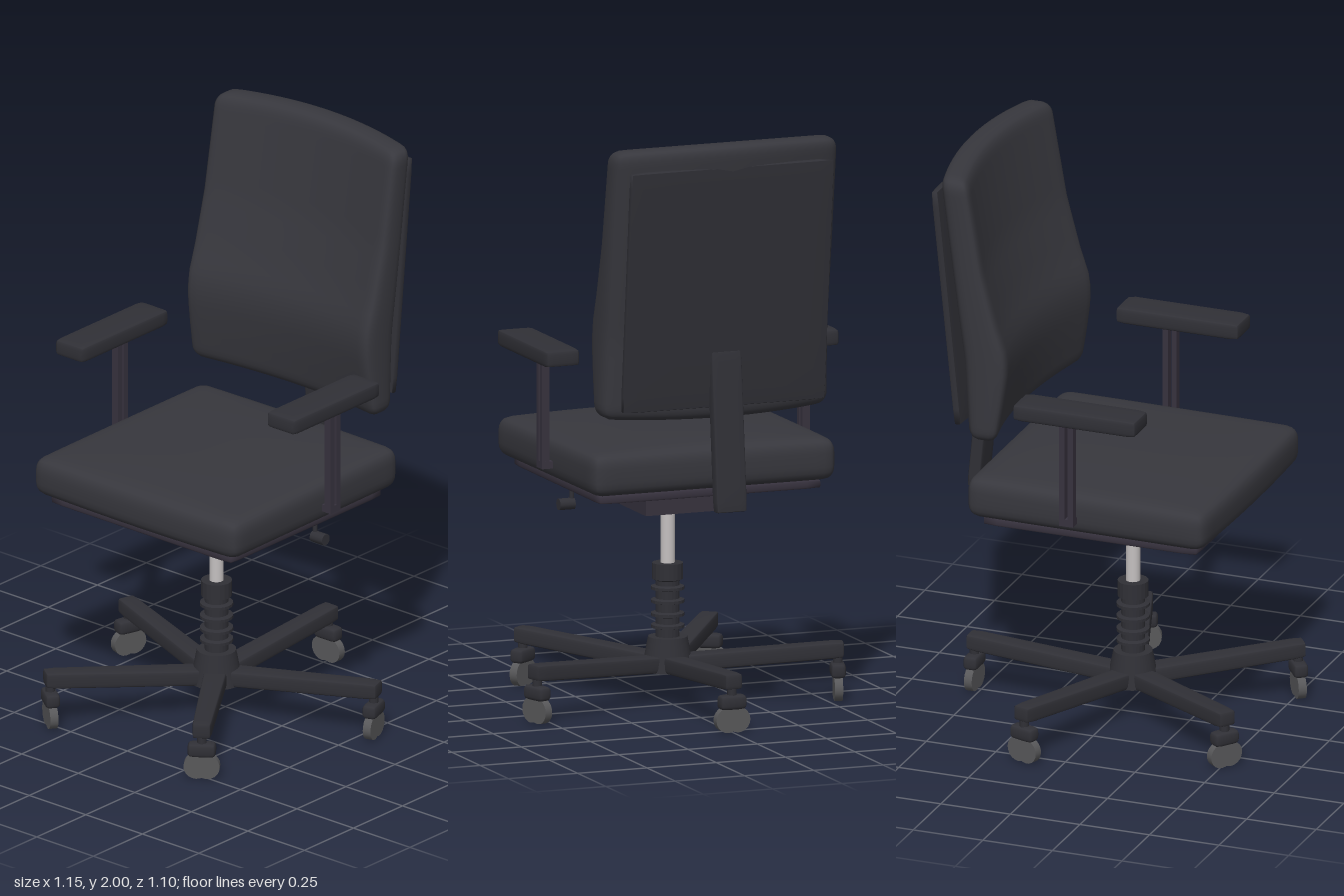
import * as THREE from 'three';
import { mergeVertices } from 'three/addons/utils/BufferGeometryUtils.js';

const paint = (name, color) => {
  const m = new THREE.MeshStandardMaterial({ color });
  m.name = name;
  return m;
};

// Rounded box with cells packed toward its edges, optionally reshaped by warp(p)
function softBox(w, h, d, r, segs, warp) {
  const g = new THREE.BoxGeometry(2, 2, 2, ...segs);
  g.deleteAttribute('uv');
  g.deleteAttribute('normal');
  const pos = g.attributes.position;
  const half = new THREE.Vector3(w / 2, h / 2, d / 2);
  const core = half.clone().subScalar(r);
  const p = new THREE.Vector3(), inner = new THREE.Vector3();
  for (let i = 0; i < pos.count; i++) {
    p.fromBufferAttribute(pos, i);
    for (const k of ['x', 'y', 'z']) p[k] = half[k] * Math.sin(p[k] * Math.PI / 2);
    inner.copy(p).clamp(core.clone().negate(), core);
    p.sub(inner).setLength(r).add(inner);
    if (warp) warp(p);
    pos.setXYZ(i, p.x, p.y, p.z);
  }
  const merged = mergeVertices(g, 1e-5);
  merged.computeVertexNormals();
  return merged;
}

// Linear lookup in a short list of [y, z] points
function lookup(points, y) {
  for (let i = 1; i < points.length; i++) {
    const [y0, z0] = points[i - 1], [y1, z1] = points[i];
    if (y <= y1 || i === points.length - 1) return z0 + (z1 - z0) * (y - y0) / (y1 - y0);
  }
}

export function createModel() {
  const chair = new THREE.Group();
  chair.name = 'officeChair';
  const fabric = paint('charcoal fabric', 0x37373d);
  const plastic = paint('dark plastic', 0x303036);
  const metal = paint('painted metal', 0x37323e);
  const steel = paint('bright steel', 0xc4c0c0);
  const rubber = paint('grey wheel', 0x58585a);

  const add = (name, geo, mat, x = 0, y = 0, z = 0, parent = chair) => {
    const m = new THREE.Mesh(geo, mat);
    m.name = name;
    m.position.set(x, y, z);
    parent.add(m);
    return m;
  };

  // Five-legged base with casters
  const base = new THREE.Group();
  base.name = 'base';
  base.position.z = 0.045;
  chair.add(base);
  const legGeo = softBox(0.08, 0.056, 0.57, 0.012, [6, 6, 6], p => {
    const t = (p.z + 0.285) / 0.57;
    p.x *= 1 - 0.2 * t;
    p.y += 0.138 + 0.04 * t;
    p.z += 0.305;
  });
  const capGeo = softBox(0.095, 0.05, 0.052, 0.016, [6, 6, 6]);
  const stemGeo = new THREE.CylinderGeometry(0.016, 0.016, 0.05, 12);
  const wheelGeo = new THREE.CylinderGeometry(0.043, 0.043, 0.028, 20).rotateX(Math.PI / 2);
  for (let i = 0; i < 5; i++) {
    const spoke = new THREE.Group();
    spoke.name = 'spoke';
    spoke.rotation.y = Math.PI + i * Math.PI * 2 / 5;
    base.add(spoke);
    add('leg', legGeo, plastic, 0, 0, 0, spoke);
    add('casterStem', stemGeo, plastic, 0, 0.145, 0.57, spoke);
    add('casterCap', capGeo, plastic, 0, 0.107, 0.57, spoke);
    for (const s of [-1, 1]) add('casterWheel', wheelGeo, rubber, s * 0.018, 0.047, 0.57, spoke);
  }
  add('hub', new THREE.CylinderGeometry(0.066, 0.088, 0.115, 20), plastic, 0, 0.172, 0, base);

  // Ribbed sleeve around the gas lift
  const sleeve = [[0, 0.22], [0.04, 0.22]];
  for (const y of [0.265, 0.305, 0.35, 0.395]) {
    sleeve.push([0.04, y - 0.009], [0.056, y - 0.005], [0.056, y + 0.005], [0.04, y + 0.009]);
  }
  sleeve.push([0.04, 0.42], [0.052, 0.425], [0.052, 0.48], [0, 0.48]);
  const sleeveGeo = new THREE.LatheGeometry(sleeve.map(([r, y]) => new THREE.Vector2(r, y)), 20).toNonIndexed();
  sleeveGeo.computeVertexNormals();
  add('liftSleeve', sleeveGeo, plastic, 0, 0, 0, base);
  add('gasRod', new THREE.CylinderGeometry(0.024, 0.024, 0.24, 20), steel, 0, 0.59, 0, base);

  // Tilt mechanism, seat pan and height lever
  add('mechanism', new THREE.BoxGeometry(0.34, 0.066, 0.38), metal, 0, 0.722, 0.01);
  add('mechanismTop', new THREE.BoxGeometry(0.11, 0.03, 0.2), plastic, 0, 0.765, 0.02);
  add('seatPan', softBox(0.8, 0.034, 0.77, 0.012, [6, 6, 6]), metal, 0, 0.786, 0.047);
  add('leverKnob', new THREE.CylinderGeometry(0.02, 0.02, 0.055, 12).rotateZ(Math.PI / 2), plastic, 0.395, 0.72, -0.025);
  add('leverStalk', new THREE.CylinderGeometry(0.008, 0.008, 0.06, 8), plastic, 0.375, 0.75, -0.025);

  // Seat cushion, gently domed and narrower toward the back
  add('seatCushion', softBox(0.9, 0.14, 0.86, 0.045, [20, 10, 20], p => {
    const dome = (1 - (p.x / 0.45) ** 2) * (1 - (p.z / 0.43) ** 4);
    if (p.y > 0) p.y += 0.02 * dome + 0.012 * -p.z;
    p.x *= 0.99 + 0.03 * p.z;
    p.z += 0.012 * (1 - (p.x / 0.45) ** 2) * (p.z > 0.38 ? 1 : 0);
  }), fabric, 0, 0.872, 0.043);

  // Backrest cushion: lumbar bulge in profile, wrapped around the sitter in plan
  const front = [[1.07, -0.285], [1.2, -0.262], [1.3, -0.248], [1.38, -0.25], [1.48, -0.285], [1.66, -0.335], [2, -0.395]];
  const rear = [[1.07, -0.385], [1.34, -0.402], [1.5, -0.425], [2, -0.492]];
  add('backCushion', softBox(0.82, 0.925, 0.13, 0.042, [24, 32, 8], p => {
    const bow = 1 - (p.x / 0.41) ** 2;
    p.x *= 1 - 0.018 * (p.y + 0.46);
    const y = p.y + 1.53;
    const t = p.z / 0.13 + 0.5;
    p.z = lookup(rear, y) * (1 - t) + lookup(front, y) * t - 0.057 * bow;
    p.y = y + 0.012 * bow * Math.sign(p.y) * Math.min(1, Math.abs(p.y) / 0.46);
  }), fabric);

  // Flat back panel and the strut carrying it
  const plank = (name, w, thick, y0, z0, y1, z1) => {
    const m = add(name, softBox(w, Math.hypot(y1 - y0, z1 - z0), thick, 0.01, [6, 6, 6]), plastic,
      0, (y0 + y1) / 2, (z0 + z1) / 2);
    m.rotation.x = Math.atan2(z1 - z0, y1 - y0);
  };
  plank('backPanel', 0.73, 0.028, 1.1, -0.442, 1.93, -0.526);
  plank('backStrut', 0.11, 0.045, 0.75, -0.51, 1.29, -0.458);

  // Armrests: soft pad on twin slim posts
  const padGeo = softBox(0.125, 0.058, 0.44, 0.014, [6, 6, 6]);
  const postGeo = new THREE.BoxGeometry(0.026, 0.38, 0.019);
  for (const s of [-1, 1]) {
    const arm = new THREE.Group();
    arm.name = s > 0 ? 'leftArmrest' : 'rightArmrest';
    chair.add(arm);
    add('armPad', padGeo, plastic, s * 0.468, 1.246, 0.04, arm);
    for (const z of [0.011, -0.02]) add('armPost', postGeo, metal, s * 0.47, 1.035, z, arm);
    add('armFoot', new THREE.BoxGeometry(0.06, 0.025, 0.05), metal, s * 0.453, 0.857, -0.005, arm);
  }
  return chair;
}
